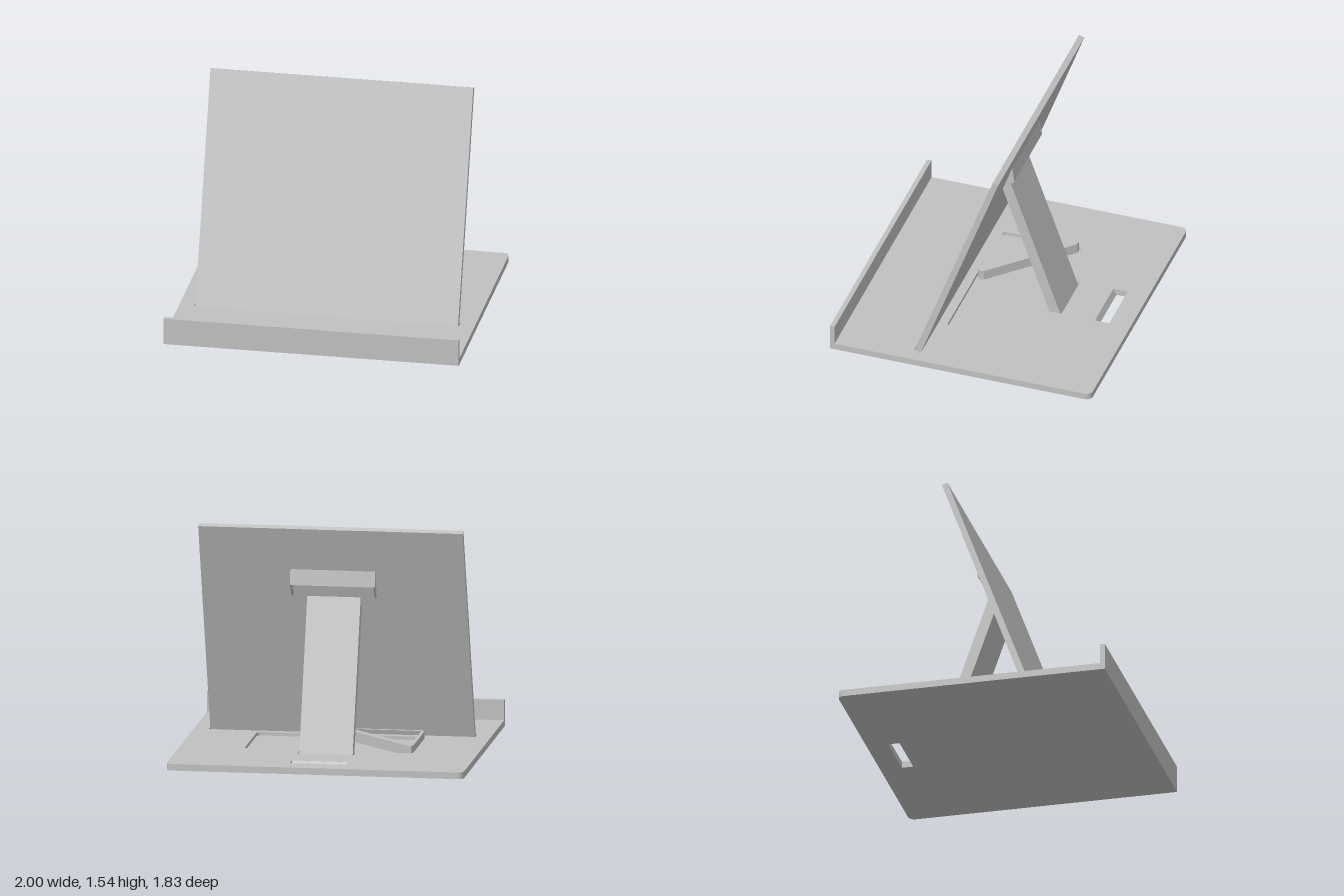
import * as THREE from 'three';

const GREY = new THREE.MeshStandardMaterial({ color: 0xc0c0c0 });
GREY.name = 'light grey';

// Rounded rectangle in plan; coordinates are x and z, r is the corner radius at back and front
function planRect(Type, x0, x1, z0, z1, rBack = 0, rFront = 0) {
  const p = new Type();
  p.moveTo(x0 + rFront, -z1);
  p.lineTo(x1 - rFront, -z1);
  p.quadraticCurveTo(x1, -z1, x1, -z1 + rFront);
  p.lineTo(x1, -z0 - rBack);
  p.quadraticCurveTo(x1, -z0, x1 - rBack, -z0);
  p.lineTo(x0 + rBack, -z0);
  p.quadraticCurveTo(x0, -z0, x0, -z0 - rBack);
  p.lineTo(x0, -z1 + rFront);
  p.quadraticCurveTo(x0, -z1, x0 + rFront, -z1);
  return p;
}

const planPoints = (pts) => pts.map(([x, z]) => new THREE.Vector2(x, -z));

export function createModel() {
  const model = new THREE.Group();
  model.name = 'tabletStand';

  const add = (name, geometry) => {
    const mesh = new THREE.Mesh(geometry, GREY);
    mesh.name = name;
    model.add(mesh);
    return mesh;
  };

  // Plate: plan shape extruded upward from y0 to y1
  const plate = (name, shape, y0, y1) => {
    const g = new THREE.ExtrudeGeometry(shape, { depth: y1 - y0, bevelEnabled: false, curveSegments: 6 });
    g.rotateX(-Math.PI / 2);
    g.translate(0, y0, 0);
    return add(name, g);
  };

  // Side profile of [z, y] points extruded across x
  const profile = (name, pts, x0, x1) => {
    const shape = new THREE.Shape(pts.map(([z, y]) => new THREE.Vector2(-z, y)));
    const g = new THREE.ExtrudeGeometry(shape, { depth: x1 - x0, bevelEnabled: false });
    g.rotateY(Math.PI / 2);
    g.translate(x0, 0, 0);
    return add(name, g);
  };

  // Base: lower and upper layers, with a grip slot right through
  const handle = () => planRect(THREE.Path, -0.19, 0.19, -0.77, -0.67);
  const lower = planRect(THREE.Shape, -1, 1, -0.917, 0.915, 0.05);
  lower.holes.push(handle());
  plate('baseLower', lower, 0, 0.022);

  // Upper layer also has the shallow pocket and the panel and support slots
  const upper = planRect(THREE.Shape, -1, 1, -0.917, 0.915, 0.05);
  upper.holes.push(
    handle(),
    planRect(THREE.Path, -0.57, 0.565, -0.32, 0.245, 0.04, 0.04),
    planRect(THREE.Path, -0.9, 0.9, 0.295, 0.362, 0.02, 0.02),
    planRect(THREE.Path, -0.19, 0.19, -0.435, -0.345),
  );
  plate('baseUpper', upper, 0.022, 0.045);

  // Slanted front wall of the grip slot
  profile('gripSlope', [[-0.665, 0.001], [-0.692, 0.001], [-0.67, 0.044], [-0.665, 0.044]], -0.19, 0.19);

  // Front lip
  const lip = add('frontLip', new THREE.BoxGeometry(2, 0.183, 0.032));
  lip.position.set(0, 0.0915, 0.901);

  // Leaning panel
  profile('backPanel', [[0.369, 0.015], [-0.19, 1.54], [-0.227, 1.525], [0.321, 0.015]], -0.89, 0.89);

  // Rear support leg
  profile('supportLeg', [[-0.355, 0.015], [-0.023, 0.95], [-0.035, 1.0], [-0.068, 1.042], [-0.43, 0.015]], -0.18, 0.18);

  // Hook block on the panel with a thin cheek at each end
  profile('hookBlock', [[-0.1, 1.23], [-0.12, 1.232], [-0.135, 1.125], [-0.108, 1.135], [-0.085, 1.13], [-0.06, 1.105]], -0.28, 0.28);
  for (const s of [-1, 1]) {
    profile('hookCheek', [[-0.1, 1.23], [-0.12, 1.232], [-0.136, 1.125], [-0.058, 1.04], [-0.04, 1.045]],
      s * 0.28 - 0.006, s * 0.28 + 0.006);
  }

  // Triangular holder standing in one end of the pocket
  const holder = new THREE.Shape(planPoints([
    [-0.568, -0.28], [-0.555, -0.303], [-0.53, -0.3], [-0.04, 0.19], [-0.035, 0.215],
    [-0.055, 0.235], [-0.545, 0.235], [-0.568, 0.212],
  ]));
  holder.holes.push(new THREE.Path(planPoints([[-0.545, -0.25], [-0.09, 0.21], [-0.545, 0.21]])));
  plate('triangularHolder', holder, 0.022, 0.092);

  return model;
}
